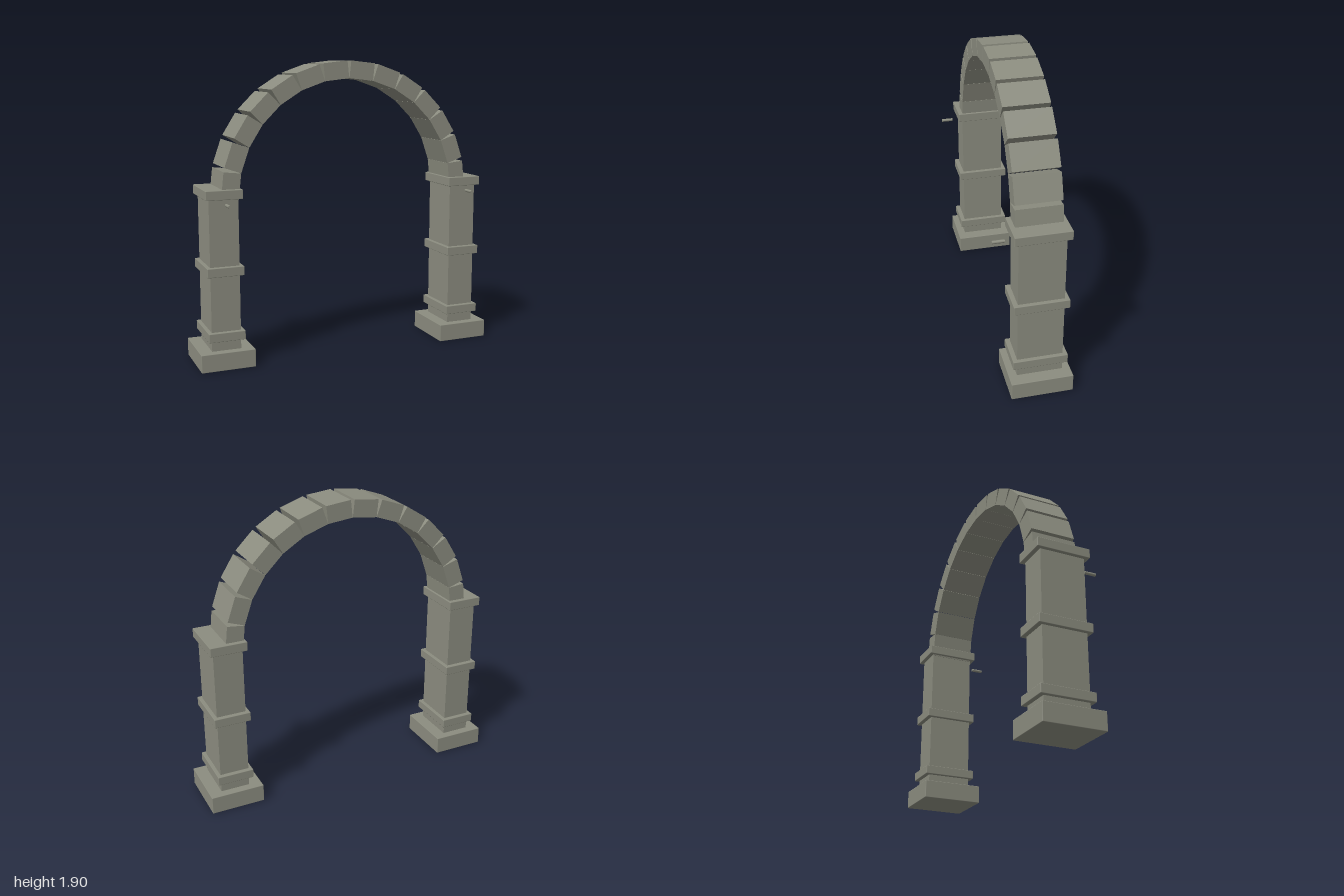
import * as THREE from 'three';
import { RoundedBoxGeometry } from 'three/addons/geometries/RoundedBoxGeometry.js';

const MID_Z = -0.04; // the pegs push the masonry slightly back

export function createModel() {
  const model = new THREE.Group();
  model.name = 'stoneArch';
  const stone = new THREE.MeshStandardMaterial({ color: 0x8b8c7f });
  stone.name = 'greyStone';

  const add = (parent, name, geometry, x, y, z) => {
    const mesh = new THREE.Mesh(geometry, stone);
    mesh.name = name;
    mesh.position.set(x, y, z);
    parent.add(mesh);
    return mesh;
  };

  // Block with slightly eased edges, placed by its bottom and top
  const block = (parent, name, w, d, y0, y1) =>
    add(parent, name, new RoundedBoxGeometry(w, y1 - y0, d, 1, 0.004), 0, (y0 + y1) / 2, MID_Z);

  // Two matching pillars
  for (const side of [-1, 1]) {
    const pillar = new THREE.Group();
    pillar.name = side > 0 ? 'leftPillar' : 'rightPillar';
    pillar.position.x = side * 0.827;
    model.add(pillar);

    block(pillar, 'base', 0.346, 0.388, 0, 0.115);
    add(pillar, 'shaft', new THREE.BoxGeometry(0.186, 1.01, 0.285), 0, 0.61, MID_Z);
    block(pillar, 'lowerBand', 0.233, 0.342, 0.179, 0.236);
    block(pillar, 'middleBand', 0.233, 0.342, 0.59, 0.648);
    block(pillar, 'capital', 0.233, 0.342, 1.066, 1.125);

    // Small peg in front of the shaft
    const peg = add(pillar, 'peg', new THREE.CylinderGeometry(0.01, 0.01, 0.075, 12), -side * 0.003, 1.038, 0.1975);
    peg.rotation.x = Math.PI / 2;
  }

  // Ring of equal blocks whose inner edges meet and outer joints open
  const arch = new THREE.Group();
  arch.name = 'arch';
  model.add(arch);
  const count = 14, innerRadius = 0.731, thickness = 0.111, centreY = 1.057;
  const step = Math.PI / count;
  const radius = innerRadius * Math.cos(step / 2) + thickness / 2;
  const geometry = new THREE.BoxGeometry(thickness, 0.1625, 0.285);
  for (let i = 0; i < count; i++) {
    const a = (i + 0.5) * step;
    const voussoir = add(arch, 'archStone' + (i + 1), geometry,
      radius * Math.cos(a), centreY + radius * Math.sin(a), MID_Z);
    voussoir.rotation.z = a;
  }
  return model;
}
